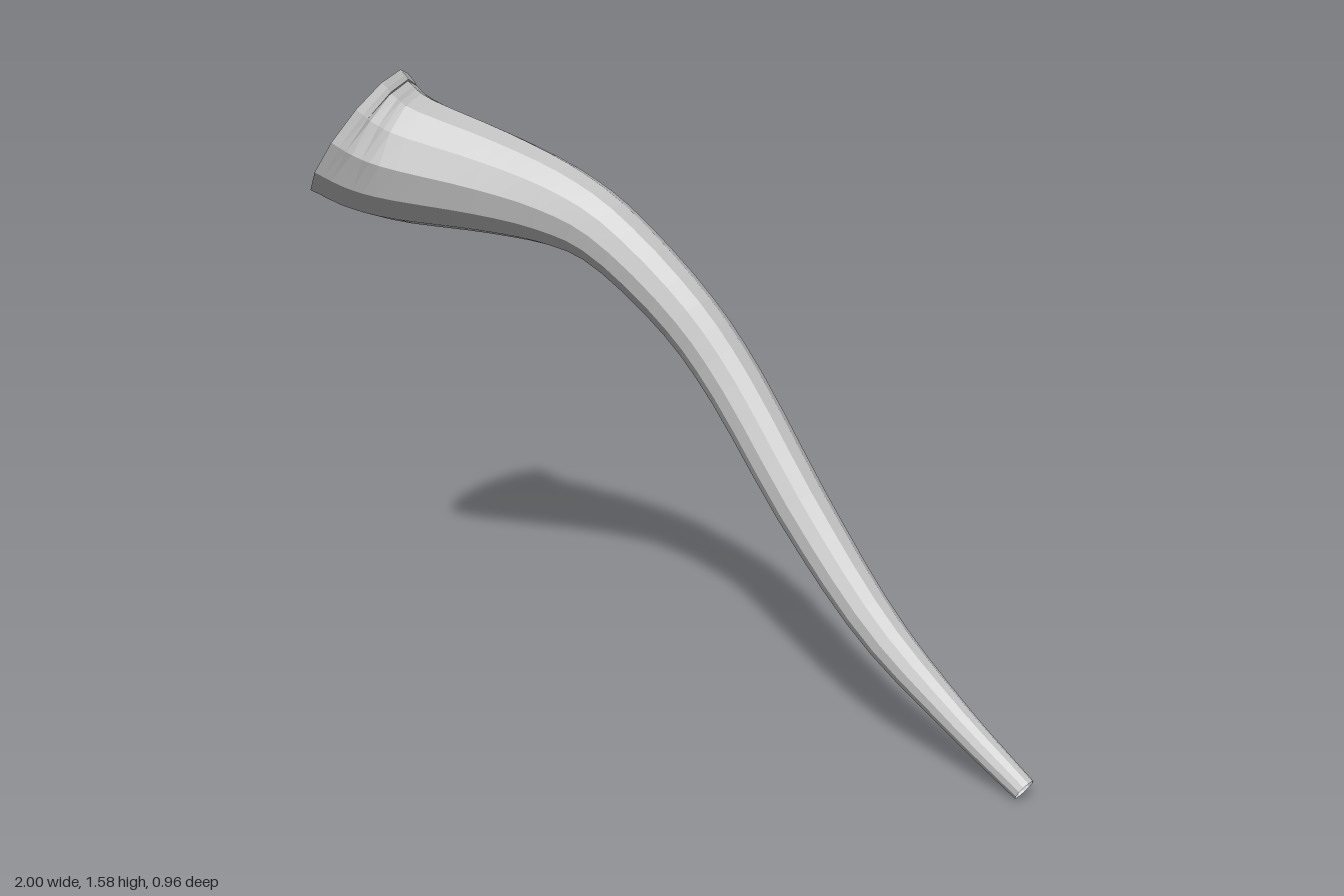
import * as THREE from 'three';

const SIDES = 12;
const RINGS = 36;

// Centre line from wide mouth to narrow tip: x, y, z, radius
const PROFILE = [
  [-0.88, 1.415, -0.27, 0.208],
  [-0.82, 1.377, -0.27, 0.193],
  [-0.725, 1.343, -0.265, 0.174],
  [-0.495, 1.297, -0.235, 0.14],
  [-0.305, 1.25, -0.19, 0.112],
  [-0.15, 1.18, -0.14, 0.091],
  [0.05, 1.015, -0.072, 0.08],
  [0.2, 0.84, -0.008, 0.075],
  [0.4, 0.56, 0.115, 0.069],
  [0.6, 0.325, 0.245, 0.057],
  [0.8, 0.155, 0.355, 0.041],
  [0.978, 0.026, 0.452, 0.03],
];

function hornGeometry() {
  const path = new THREE.CatmullRomCurve3(
    PROFILE.map(([x, y, z]) => new THREE.Vector3(x, y, z)), false, 'catmullrom');
  const radii = new THREE.CatmullRomCurve3(
    PROFILE.map((p) => new THREE.Vector3(p[3], 0, 0)), false, 'catmullrom');

  const positions = [];
  const index = [];
  const normal = new THREE.Vector3(0, 0, 1);

  // Rings square to the path, carried along without twisting
  for (let i = 0; i <= RINGS; i++) {
    const t = i / RINGS;
    const centre = path.getPoint(t);
    const radius = radii.getPoint(t).x;
    const tangent = i === 0
      ? new THREE.Vector3(0.81, -0.59, 0).normalize()
      : path.getTangent(t);
    normal.addScaledVector(tangent, -normal.dot(tangent)).normalize();
    const side = new THREE.Vector3().crossVectors(tangent, normal);

    for (let j = 0; j < SIDES; j++) {
      const a = (j / SIDES) * Math.PI * 2;
      const p = centre.clone()
        .addScaledVector(normal, Math.cos(a) * radius)
        .addScaledVector(side, Math.sin(a) * radius);
      positions.push(p.x, p.y, p.z);
      if (i < RINGS) {
        const k = (j + 1) % SIDES;
        const r0 = i * SIDES;
        const r1 = r0 + SIDES;
        index.push(r0 + j, r0 + k, r1 + j, r0 + k, r1 + k, r1 + j);
      }
    }
  }

  const geometry = new THREE.BufferGeometry();
  geometry.setAttribute('position', new THREE.Float32BufferAttribute(positions, 3));
  geometry.setIndex(index);
  geometry.computeVertexNormals();
  return geometry;
}

export function createModel() {
  const group = new THREE.Group();
  group.name = 'horn';

  const grey = new THREE.MeshStandardMaterial({
    color: 0xc4c4c4, flatShading: true, side: THREE.DoubleSide,
  });
  grey.name = 'light grey';

  // Open, curved, flaring tube
  const body = new THREE.Mesh(hornGeometry(), grey);
  body.name = 'hornBody';
  group.add(body);
  return group;
}
